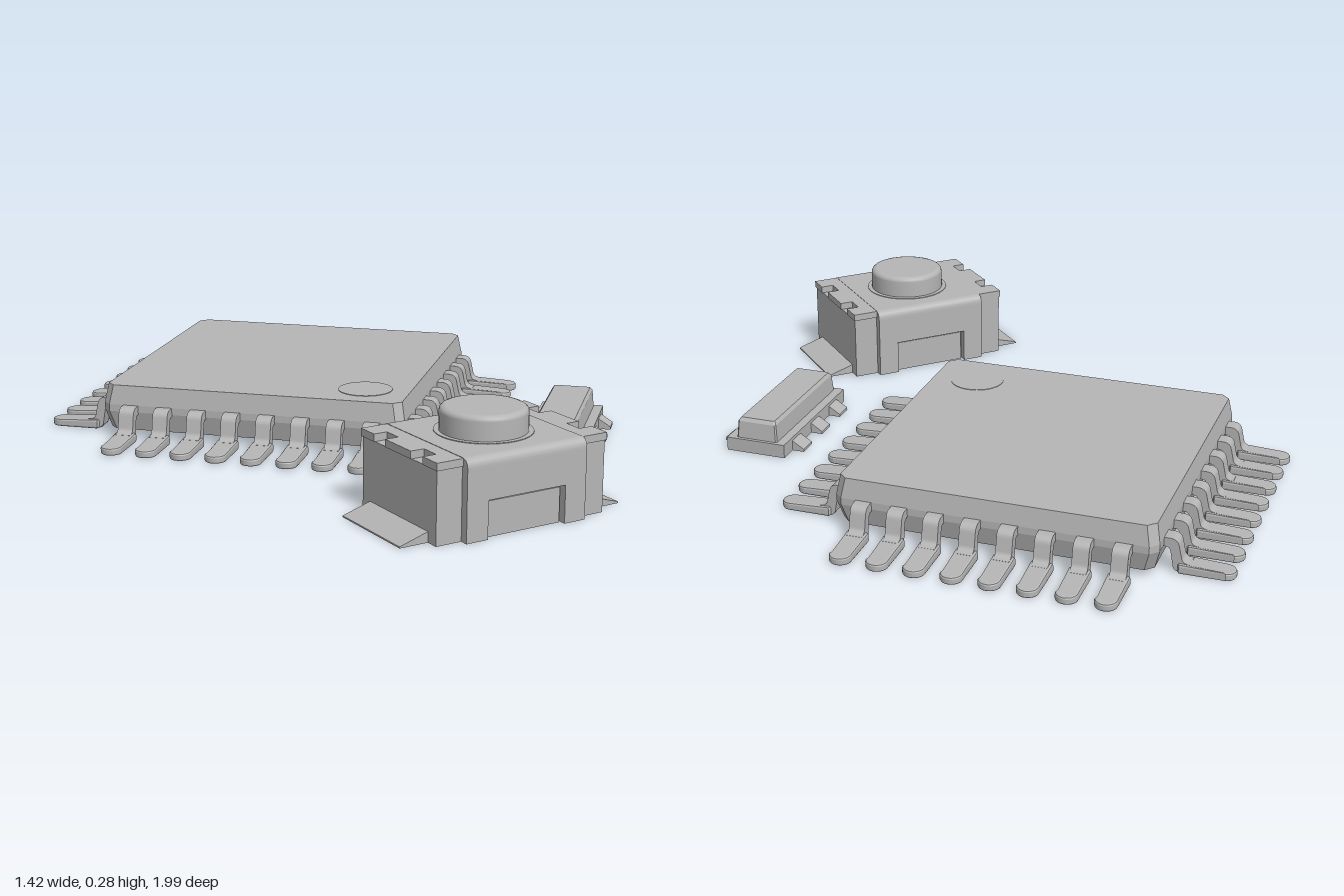
import * as THREE from 'three';

const grey = new THREE.MeshStandardMaterial({ color: 0xb5b5b5 });
grey.name = 'neutral grey';

function add(parent, name, geo, x = 0, y = 0, z = 0) {
  const m = new THREE.Mesh(geo, grey);
  m.name = name;
  m.position.set(x, y, z);
  parent.add(m);
  return m;
}

const box = (w, h, d) => new THREE.BoxGeometry(w, h, d);
const shapeOf = pts => new THREE.Shape(pts.map(p => new THREE.Vector2(p[0], p[1])));
const extrude = (shape, depth, opts = {}) =>
  new THREE.ExtrudeGeometry(shape, { depth, bevelEnabled: false, curveSegments: 8, ...opts });

// Stacked chamfered rectangles [y, halfX, halfZ, chamfer], capped and flat sided
function loft(levels) {
  const rings = levels.map(([y, a, b, c]) => [
    [a, y, -b + c], [a, y, b - c], [a - c, y, b], [-a + c, y, b],
    [-a, y, b - c], [-a, y, -b + c], [-a + c, y, -b], [a - c, y, -b]]);
  const pos = [];
  const tri = (p, q, r) => pos.push(...p, ...q, ...r);
  for (let k = 0; k < rings.length - 1; k++) {
    for (let i = 0; i < 8; i++) {
      const j = (i + 1) % 8, lo = rings[k], hi = rings[k + 1];
      tri(lo[i], hi[i], hi[j]);
      tri(lo[i], hi[j], lo[j]);
    }
  }
  const bottom = rings[0], top = rings[rings.length - 1];
  for (let i = 1; i < 7; i++) {
    tri(top[0], top[i + 1], top[i]);
    tri(bottom[0], bottom[i], bottom[i + 1]);
  }
  const g = new THREE.BufferGeometry();
  g.setAttribute('position', new THREE.Float32BufferAttribute(pos, 3));
  g.computeVertexNormals();
  return g;
}

// Square chip with eight bent legs on each side
function squareChip() {
  const chip = new THREE.Group();
  chip.name = 'squareChip';
  add(chip, 'chipBody', loft([
    [0.02, 0.425, 0.425, 0.022], [0.075, 0.44, 0.44, 0.022],
    [0.095, 0.44, 0.44, 0.022], [0.15, 0.43, 0.43, 0.022]]));
  add(chip, 'cornerMark', new THREE.CylinderGeometry(0.077, 0.077, 0.002, 40), -0.3, 0.1505, 0.3);

  // Bent neck, drawn outward along x
  const neck = new THREE.Shape();
  neck.moveTo(0.42, 0.07);
  neck.lineTo(0.445, 0.07);
  neck.quadraticCurveTo(0.456, 0.07, 0.458, 0.055);
  neck.lineTo(0.465, 0.015);
  neck.quadraticCurveTo(0.468, 0.004, 0.48, 0.004);
  neck.lineTo(0.51, 0.004);
  neck.lineTo(0.51, 0.027);
  neck.quadraticCurveTo(0.49, 0.027, 0.487, 0.042);
  neck.lineTo(0.48, 0.075);
  neck.quadraticCurveTo(0.476, 0.095, 0.455, 0.095);
  neck.lineTo(0.42, 0.095);
  const neckGeo = extrude(neck, 0.044).translate(0, 0, -0.022);

  // Foot with a rounded toe, thinning outward
  const foot = new THREE.Shape();
  foot.moveTo(0.485, -0.024);
  foot.lineTo(0.598, -0.024);
  foot.absarc(0.596, 0, 0.024, -Math.PI / 2, Math.PI / 2, false);
  foot.lineTo(0.485, 0.024);
  foot.quadraticCurveTo(0.47, 0, 0.485, -0.024);
  const footGeo = extrude(foot, 0.014, {
    bevelEnabled: true, bevelThickness: 0.006, bevelSize: 0.006, bevelSegments: 2 });
  footGeo.rotateX(-Math.PI / 2).translate(0, 0.006, 0);
  const p = footGeo.attributes.position;
  for (let i = 0; i < p.count; i++) {
    const t = (p.getX(i) - 0.47) / 0.155;
    p.setY(i, p.getY(i) * (1.1 - 0.3 * t));
  }
  footGeo.computeVertexNormals();

  for (let s = 0; s < 4; s++) {
    const side = new THREE.Group();
    side.name = 'legRow';
    side.rotation.y = s * Math.PI / 2;
    chip.add(side);
    for (let i = 0; i < 8; i++) {
      const z = (i - 3.5) * 0.101;
      add(side, 'legNeck', neckGeo, 0, 0, z);
      add(side, 'legFoot', footGeo, 0, 0, z);
    }
  }
  return chip;
}

// Small six-pin chip on a base plate
function smallChip() {
  const chip = new THREE.Group();
  chip.name = 'smallChip';
  add(chip, 'basePlate', box(0.43, 0.04, 0.18), 0, 0.02, 0);
  add(chip, 'cap', loft([
    [0.04, 0.205, 0.063, 0.004], [0.09, 0.2, 0.059, 0.004], [0.1, 0.192, 0.052, 0.004]]));
  const wedge = extrude(shapeOf([[0.07, 0], [0.125, 0], [0.125, 0.008], [0.09, 0.03], [0.07, 0.03]]), 0.056);
  wedge.translate(0, 0, -0.028).rotateY(-Math.PI / 2);
  for (const turn of [0, Math.PI]) {
    for (const x of [-0.13, 0, 0.13]) add(chip, 'pin', wedge, x).rotation.y = turn;
  }
  return chip;
}

// Push switch with a metal cover
function pushSwitch() {
  const sw = new THREE.Group();
  sw.name = 'pushSwitch';
  add(sw, 'housing', box(0.5, 0.19, 0.335), 0, 0.095, 0);

  // Cover plate with two notches at each end
  const half = [[0.253, -0.172], [0.253, -0.11], [0.215, -0.11], [0.215, -0.058],
    [0.253, -0.058], [0.253, 0.058], [0.215, 0.058], [0.215, 0.11], [0.253, 0.11], [0.253, 0.172]];
  const outline = shapeOf([...half, ...half.map(([x, z]) => [-x, -z])]);
  add(sw, 'coverPlate', extrude(outline, 0.02).rotateX(-Math.PI / 2), 0, 0.19, 0);

  // Cover folded over front and back, open below the middle
  const fold = new THREE.Shape();
  fold.moveTo(-0.19, 0.1);
  fold.lineTo(0.19, 0.1);
  fold.lineTo(0.19, 0.185);
  fold.quadraticCurveTo(0.19, 0.211, 0.165, 0.211);
  fold.lineTo(-0.165, 0.211);
  fold.quadraticCurveTo(-0.19, 0.211, -0.19, 0.185);
  add(sw, 'coverFold', extrude(fold, 0.355).rotateY(Math.PI / 2), -0.1775, 0, 0);
  for (const z of [-1, 1]) {
    add(sw, 'frontPanel', box(0.22, 0.092, 0.01), 0, 0.046, z * 0.169);
    for (const x of [-1, 1]) {
      add(sw, 'coverLeg', box(0.0625, 0.1, 0.03), x * 0.14625, 0.05, z * 0.175);
    }
  }

  // Sloping solder tabs at both ends
  const tab = extrude(shapeOf([[0.24, 0], [0.33, 0], [0.33, 0.004], [0.25, 0.028], [0.24, 0.028]]), 0.265);
  tab.translate(0, 0, -0.1325);
  for (const turn of [0, Math.PI]) add(sw, 'solderTab', tab).rotation.y = turn;

  // Button with a softened rim and a thin collar
  add(sw, 'collar', new THREE.CylinderGeometry(0.126, 0.126, 0.004, 48), 0, 0.211, 0);
  const profile = [[0.113, 0.2], [0.113, 0.262], [0.111, 0.269], [0.106, 0.274], [0.099, 0.276]];
  add(sw, 'button', new THREE.LatheGeometry(profile.map(q => new THREE.Vector2(q[0], q[1])), 48));
  add(sw, 'buttonTop', new THREE.CircleGeometry(0.099, 48).rotateX(-Math.PI / 2), 0, 0.276, 0);
  return sw;
}

export function createModel() {
  const model = new THREE.Group();
  model.name = 'electronicParts';
  const chip = squareChip();
  chip.position.set(0, 0, -0.292);
  chip.rotation.y = Math.PI / 4;
  const small = smallChip();
  small.position.set(0.505, 0, 0.39);
  small.rotation.y = Math.PI / 4;
  const sw = pushSwitch();
  sw.position.set(-0.068, 0, 0.808);
  model.add(chip, small, sw);
  return model;
}
